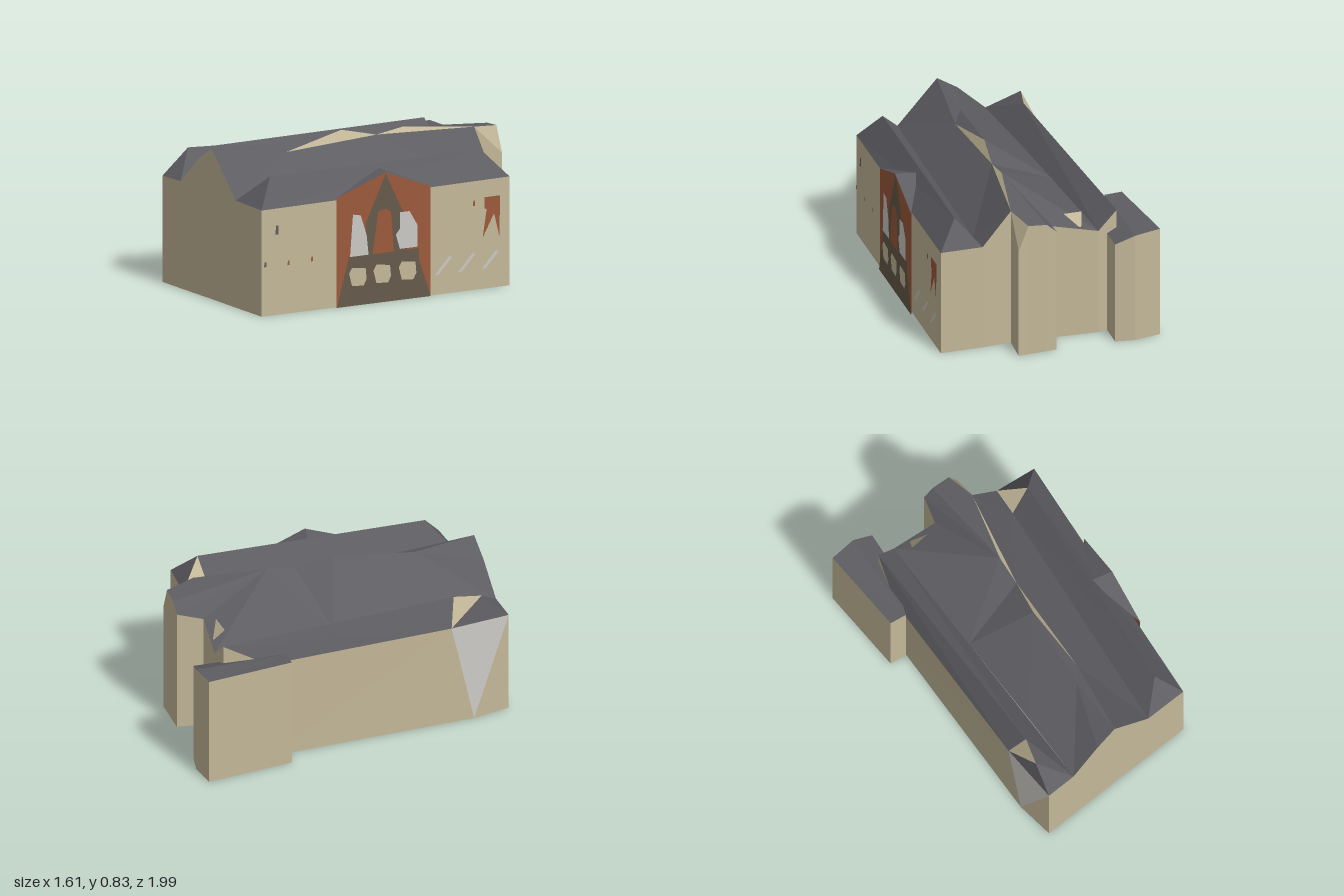
import * as THREE from 'three';

const paint = (name, hex) => {
  const m = new THREE.MeshStandardMaterial({ color: hex, side: THREE.DoubleSide, flatShading: true });
  m.name = name;
  return m;
};

// Mesh from flat polygons (each a short loop of [x, y, z]), all facing away from the core.
const CORE = new THREE.Vector3(0, -0.2, 0);
function facets(name, material, polygons) {
  const pos = [];
  for (const poly of polygons) {
    const p = poly.map(q => new THREE.Vector3(...q));
    for (let i = 1; i < p.length - 1; i++) {
      const t = [p[0], p[i], p[i + 1]];
      const n = t[1].clone().sub(t[0]).cross(t[2].clone().sub(t[0]));
      const mid = t[0].clone().add(t[1]).add(t[2]).divideScalar(3).sub(CORE);
      if (n.dot(mid) < 0) t.reverse();
      t.forEach(v => pos.push(v.x, v.y, v.z));
    }
  }
  const g = new THREE.BufferGeometry();
  g.setAttribute('position', new THREE.Float32BufferAttribute(pos, 3));
  g.computeVertexNormals();
  const mesh = new THREE.Mesh(g, material);
  mesh.name = name;
  return mesh;
}

// Upright wall panels below a chain of eave points
const drop = ([x, , z]) => [x, 0, z];
const wallsUnder = tops => tops.slice(1).map((b, i) => [drop(tops[i]), drop(b), b, tops[i]]);

// Point on the long street wall: z along it, y up, off = distance proud of it
const street = (z, y, off) => [0.04 + (0.99 - z) * 0.598 + off * 0.858, y, z + off * 0.513];
const onStreet = (off, pts) => pts.map(([z, y]) => street(z, y, off));

export function createModel() {
  const model = new THREE.Group();
  const cream = paint('cream stone', 0xc4b899);
  const slate = paint('slate roof', 0x5e5d62);
  const brick = paint('red brick', 0x9c5a3c);
  const brown = paint('dark brown stone', 0x665a4a);
  const glass = paint('pale glass', 0xcbc9c5);
  const add = (...args) => model.add(facets(...args));

  // Eave corners
  const C0 = [0.04, 0.58, 0.99], C1 = [0.80, 0.595, -0.28], Vb = [0.60, 0.595, -0.40];
  const K = [0.46, 0.78, -0.475], b = [0.55, 0.62, -0.61], b2 = [0.50, 0.76, -0.635];
  const c2 = [0.41, 0.75, -0.685], c = [0.36, 0.70, -0.71], d = [0.27, 0.66, -0.60];
  const VLb = [0.06, 0.60, -0.74], R = [-0.04, 0.70, -0.78], W = [-0.20, 0.575, -0.60];
  const E = [-0.675, 0.58, 0.315], L = [-0.805, 0.58, 0.62], B = [-0.74, 0, 0.42];
  // Front gable line
  const VL = [-0.65, 0.585, 0.688], H = [-0.50, 0.74, 0.753], G = [-0.39, 0.82, 0.80], VR = [-0.18, 0.585, 0.894];
  // Roof ridges and valleys
  const P = [-0.72, 0.72, 0.50], Q = [-0.62, 0.72, 0.39];
  const RR0 = [0, 0.73, 0.84], RR1 = [0.645, 0.73, -0.24], V2 = [0.53, 0.58, -0.27];
  const M2 = [-0.24, 0.79, 0.50], M = [-0.14, 0.76, 0.45], N = [0.12, 0.785, -0.04];
  const T1 = [0, 0.83, 0.12], T2 = [0.20, 0.81, -0.18];
  const v1 = [-0.47, 0.60, 0.33], v2 = [-0.24, 0.60, -0.14];

  // Walls
  add('streetWall', cream, wallsUnder([C0, C1]));
  add('backWall', cream, wallsUnder([C1, Vb, K, b, b2, c2, c, d, VLb, R, W]));
  add('frontGableWall', cream, [
    ...wallsUnder([C0, VR, G]), ...wallsUnder([G, H, VL, L]),
  ]);
  add('sideWall', cream, [[drop(W), W, E, B], [B, drop(L), L]]);
  add('sideGlazedCorner', glass, [[E, B, L]]);

  // Roof: three parallel ridges
  add('rightRoof', slate, [
    [C0, C1, RR1, RR0], [C0, RR0, VR], [RR0, RR1, V2, VR], [C1, RR1, Vb],
  ]);
  add('mainRoofRightSlope', slate, [[VR, G, M], [VR, M, N, V2], [V2, N, K, Vb]]);
  add('mainRoofLeftSlope', slate, [
    [VL, H, M2], [H, G, M2], [G, M2, M], [M2, M, T1], [VL, M2, T1, v1],
    [v1, T1, v2], [v2, T1, N], [v2, N, T2], [v2, T2, VLb],
  ]);
  add('rearRoof', slate, [[T2, K, b2, c2], [T2, c2, c, d], [T2, d, VLb]]);
  add('leftRoof', slate, [
    [L, P, VL], [L, P, E], [P, Q, VL], [Q, R, VLb, VL], [E, Q, R, W],
  ]);

  // Exposed stone triangles along the ridges
  add('ridgeGables', cream, [
    [M, T1, N], [N, T2, K], [P, Q, E], [RR1, V2, Vb], [K, b, b2],
    [[0.08, 0.69, -0.64], [0.18, 0.70, -0.60], [0.13, 0.62, -0.68]],
  ]);

  // Low annex at the back
  const a = [[-0.14, 0.625, -1], [0, 0.62, -0.95], [0.085, 0.575, -0.88],
    [0, 0.575, -0.74], [-0.25, 0.62, -0.51], [-0.33, 0.625, -0.56]];
  add('annexWalls', cream, wallsUnder([...a, a[0]]));
  add('annexRoof', slate, [[a[0], a[1], a[4], a[5]], [a[1], a[2], a[3], a[4]]]);

  // Entrance bay on the street wall
  const bay = [[0.61, 0], [0.13, 0], [0.13, 0.60], [0.36, 0.705], [0.61, 0.60]];
  add('entranceBay', brick, [onStreet(0.01, bay)]);
  const ridgeBack = [0.335, 0.705, 0.29];
  const apex = street(0.36, 0.71, 0.018);
  add('entranceRoof', slate, [
    [apex, ridgeBack, street(0.61, 0.60, 0.014)], [apex, ridgeBack, street(0.13, 0.60, 0.014)],
  ]);
  add('entranceStonework', brown, [
    onStreet(0.014, [[0.61, 0], [0.13, 0], [0.19, 0.21], [0.19, 0.27], [0.55, 0.27], [0.55, 0.21]]),
    onStreet(0.014, [[0.36, 0.70], [0.46, 0.45], [0.47, 0.27], [0.25, 0.27], [0.26, 0.45]]),
  ]);
  add('entranceDoor', brick, [
    onStreet(0.018, [[0.43, 0.27], [0.32, 0.27], [0.335, 0.49], [0.36, 0.51], [0.40, 0.50]]),
  ]);
  add('entranceUpperWindows', glass, [
    onStreet(0.018, [[0.545, 0.27], [0.45, 0.27], [0.46, 0.38], [0.49, 0.49], [0.53, 0.50], [0.53, 0.40]]),
    onStreet(0.018, [[0.29, 0.28], [0.20, 0.28], [0.20, 0.40], [0.24, 0.48], [0.29, 0.48], [0.27, 0.42], [0.31, 0.36]]),
  ]);
  add('entranceLowerWindows', cream, [0.505, 0.38, 0.25].map(z =>
    onStreet(0.018, [[z + 0.03, 0.11], [z - 0.03, 0.105], [z - 0.045, 0.14],
      [z - 0.04, 0.20], [z + 0.03, 0.21], [z + 0.045, 0.18]])));

  // Slanted slivers of window on both sides of the entrance
  const sliver = (z, w) => onStreet(0.006,
    [[z + 0.045, 0.11], [z + 0.045 - w, 0.11], [z - 0.045, 0.20], [z - 0.045 + w, 0.20]]);
  add('streetWindowsFront', cream, [0.92, 0.80, 0.69].map(z => sliver(z, 0.015)));
  add('streetWindowsBack', glass, [0.06, -0.06, -0.18].map(z => sliver(z, 0.02)));
  const chip = (z, y, w, h) => onStreet(0.006, [[z + w, y], [z - w, y], [z - w, y + h], [z + w * 0.4, y + h]]);
  add('smallDarkOpenings', slate, [chip(0.915, 0.44, 0.008, 0.05), chip(0.975, 0.27, 0.006, 0.025)]);
  add('smallBrickPatches', brick, [
    chip(0.855, 0.265, 0.006, 0.025), chip(0.735, 0.27, 0.006, 0.025), chip(-0.095, 0.46, 0.006, 0.03),
    onStreet(0.006, [[-0.15, 0.50], [-0.23, 0.50], [-0.20, 0.40], [-0.15, 0.44]]),
    onStreet(0.006, [[-0.20, 0.41], [-0.14, 0.28], [-0.16, 0.43]]),
    onStreet(0.006, [[-0.23, 0.50], [-0.225, 0.28], [-0.20, 0.40]]),
  ]);

  return model;
}
